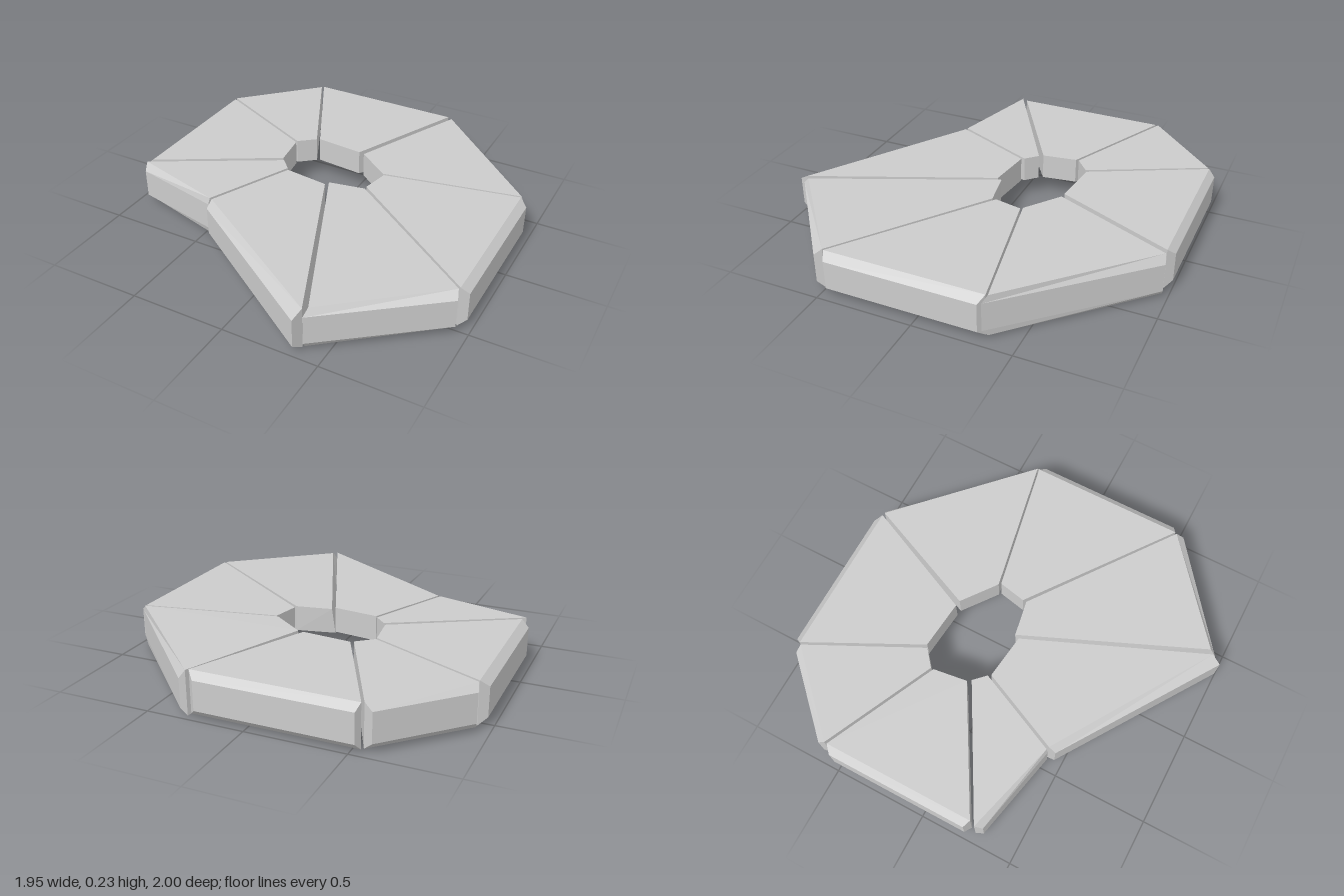
import * as THREE from 'three';

// Heights of the bevelled section; the underside rises toward the central hole
const TOP = 0.235, RIM_TOP = 0.2, RIM_BOTTOM = 0.05, BOTTOM = 0.015, INNER_BOTTOM = 0.1;

// Each wedge has two radial sides: inner corner, outer corner and rim corner as [x, z].
// Optional: shift = offset of the lower corners, drop = lowering of the outer end.
const WEDGES = [
  { name: 'backWedge',
    a: { inner: [-0.25, -0.38], outer: [-0.545, -0.965], rim: [-0.53, -1] },
    b: { inner: [0.01, -0.355], outer: [0.285, -0.965], rim: [0.25, -1] } },
  { name: 'backLeftWedge',
    a: { inner: [0.04, -0.35], outer: [0.305, -0.965], rim: [0.335, -0.975], drop: 0.015 },
    b: { inner: [0.22, -0.215], outer: [0.935, -0.355], rim: [0.96, -0.335] } },
  { name: 'leftWedge',
    a: { inner: [0.23, -0.205], outer: [0.935, -0.345], rim: [0.975, -0.32] },
    b: { inner: [0.2, -0.06], outer: [0.935, 0.48], rim: [0.975, 0.46] } },
  { name: 'frontLeftWedge',
    a: { inner: [0.2, -0.04], outer: [0.93, 0.49], rim: [0.945, 0.53] },
    b: { inner: [0.01, -0.005], outer: [0.41, 0.92], rim: [0.4, 0.955], shift: [-0.015, 0.01] } },
  { name: 'frontWedge',
    a: { inner: [0, 0.02], outer: [0.39, 0.94], rim: [0.37, 0.995] },
    b: { inner: [-0.24, -0.01], outer: [-0.435, 0.42], rim: [-0.44, 0.46] } },
  { name: 'frontRightWedge',
    a: { inner: [-0.25, -0.025], outer: [-0.45, 0.415], rim: [-0.455, 0.425] },
    b: { inner: [-0.31, -0.085], outer: [-0.95, 0.28], rim: [-0.935, 0.32] } },
  { name: 'rightWedge',
    a: { inner: [-0.325, -0.105], outer: [-0.935, 0.25], rim: [-0.975, 0.23] },
    b: { inner: [-0.35, -0.285], outer: [-0.935, -0.56], rim: [-0.975, -0.53] } },
  { name: 'backRightWedge',
    a: { inner: [-0.35, -0.3], outer: [-0.935, -0.575], rim: [-0.945, -0.61] },
    b: { inner: [-0.265, -0.37], outer: [-0.555, -0.955], rim: [-0.595, -0.965] } },
];

// Six-point section along one radial side, from inner top round to inner bottom
function section({ inner, outer, rim, shift = [0, 0], drop = 0 }) {
  const at = ([x, z], y, s = [0, 0]) => [x + s[0], y, z + s[1]];
  return [
    at(inner, TOP), at(outer, TOP - drop / 2), at(rim, RIM_TOP - drop),
    at(rim, RIM_BOTTOM - drop), at(outer, BOTTOM - drop, shift), at(inner, INNER_BOTTOM, shift),
  ];
}

// Flat-faced solid spanning the two sections
function wedgeGeometry(sideA, sideB) {
  const a = section(sideA), b = section(sideB), positions = [];
  const quad = (p, q, r, s) => [p, q, r, p, r, s].forEach(v => positions.push(...v));
  for (let i = 0; i < 6; i++) {
    const j = (i + 1) % 6;
    quad(a[i], b[i], b[j], a[j]);
  }
  // Radial side walls
  for (const [p, q, r, s] of [[0, 1, 4, 5], [1, 2, 3, 4]]) {
    quad(a[p], a[q], a[r], a[s]);
    quad(b[s], b[r], b[q], b[p]);
  }
  const geometry = new THREE.BufferGeometry();
  geometry.setAttribute('position', new THREE.Float32BufferAttribute(positions, 3));
  geometry.computeVertexNormals();
  return geometry;
}

export function createModel() {
  const group = new THREE.Group();
  group.name = 'segmentedSlab';
  const material = new THREE.MeshStandardMaterial({ color: 0xcccccc, flatShading: true });
  for (const { name, a, b } of WEDGES) {
    const mesh = new THREE.Mesh(wedgeGeometry(a, b), material);
    mesh.name = name;
    group.add(mesh);
  }
  return group;
}
